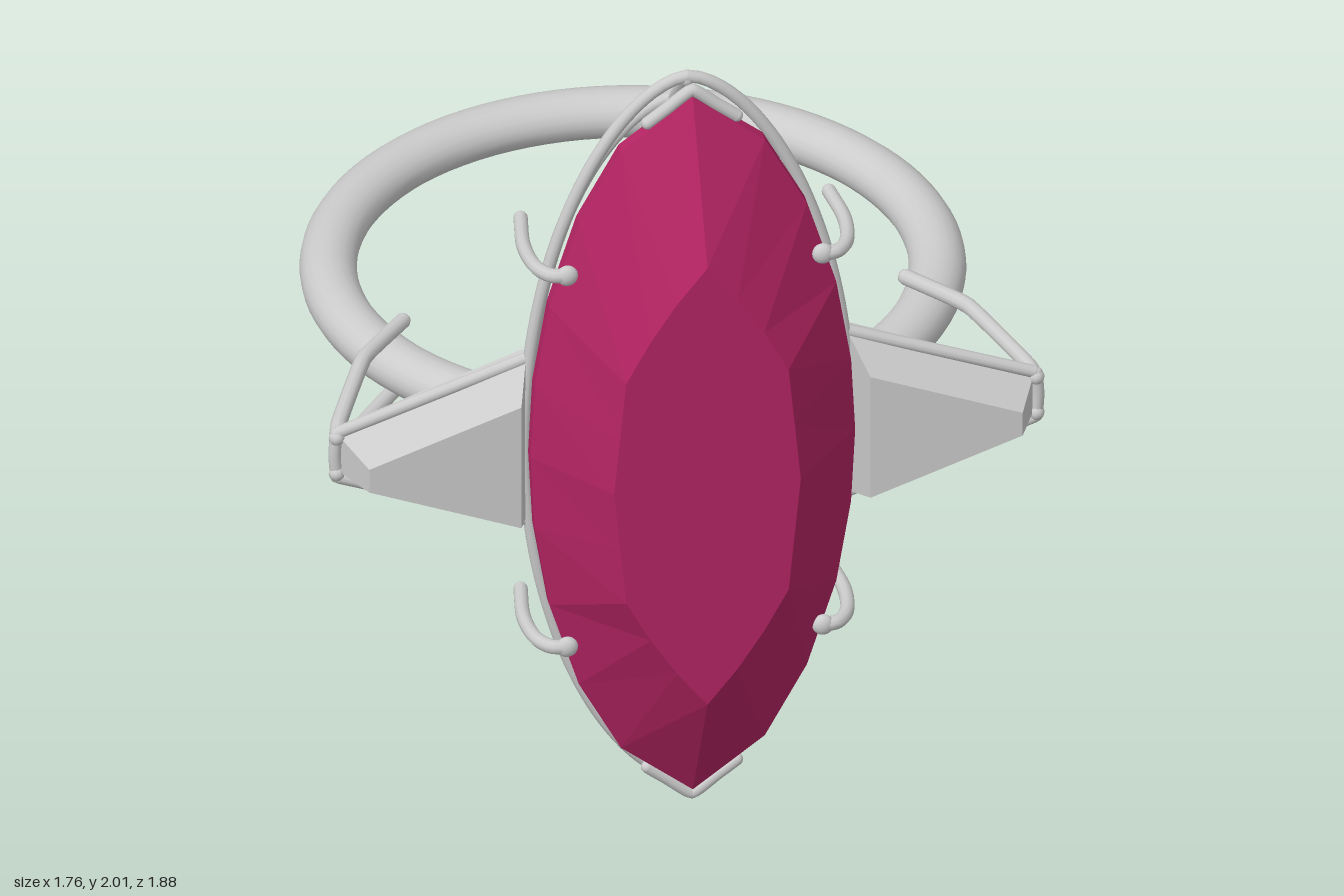
import * as THREE from 'three';
import { mergeGeometries } from 'three/addons/utils/BufferGeometryUtils.js';

const MID = 1; // height of the ring plane
const metal = new THREE.MeshStandardMaterial({ color: 0xcccccc });
const stoneGrey = new THREE.MeshStandardMaterial({ color: 0xcccccc, flatShading: true });
const stoneRed = new THREE.MeshStandardMaterial({ color: 0xb32462, flatShading: true });

function add(parent, name, geometry, material) {
  const mesh = new THREE.Mesh(geometry, material);
  mesh.name = name;
  parent.add(mesh);
  return mesh;
}

// Faceted solid through cross-sections ordered back to front, each counter-clockwise from the front
function loft(rings) {
  const pos = [];
  const tri = (...pts) => pts.forEach((p) => pos.push(...p));
  const n = rings[0].length;
  for (let i = 0; i < rings.length - 1; i++) {
    for (let k = 0; k < n; k++) {
      const m = (k + 1) % n;
      const [a, b, c, d] = [rings[i][k], rings[i][m], rings[i + 1][m], rings[i + 1][k]];
      if (i > 0) tri(a, b, c); // the first section is a point
      tri(a, c, d);
    }
  }
  const front = rings[rings.length - 1];
  for (let k = 1; k < n - 1; k++) tri(front[0], front[k], front[k + 1]);
  const g = new THREE.BufferGeometry();
  g.setAttribute('position', new THREE.Float32BufferAttribute(pos, 3));
  g.computeVertexNormals();
  return g;
}

// Round wire through points, with closed ends
function wire(points, radius, tension = 0.5, segments = 32) {
  const v = points.map((p) => new THREE.Vector3(...p));
  const curve = new THREE.CatmullRomCurve3(v, false, 'catmullrom', tension);
  const parts = [new THREE.TubeGeometry(curve, segments, radius, 10, false)];
  for (const end of [v[0], v[v.length - 1]]) {
    parts.push(new THREE.SphereGeometry(radius, 10, 8).translate(end.x, end.y, end.z));
  }
  return mergeGeometries(parts);
}

// Half width of the pointed oval at a relative height t from -1 to 1
const ovalX = (t, w) => w * Math.pow(Math.max(0, 1 - t * t), 0.6);

// Spread one quarter of an outline (side to top tip) around the full turn
function fullTurn(quarter) {
  const up = quarter.slice(0, -1);
  const tip = quarter[quarter.length - 1];
  const right = [...up, tip];
  const left = up.slice(1).reverse().map(([x, y]) => [-x, y]);
  const half = [...right, ...left];
  return [...half, ...half.map(([x, y]) => [-x, -y])];
}
const section = (outline, s, z) => outline.map(([x, y]) => [x * s, y * s + MID, z]);

function ovalWire(parent, name, w, h, z, radius, from = -1) {
  for (const side of [1, -1]) {
    const pts = [];
    for (let i = 0; i <= 24; i++) {
      const t = Math.sin((from + (1 - from) * i / 24) * Math.PI / 2);
      pts.push([side * ovalX(t, w), MID + t * h, z]);
    }
    add(parent, name, wire(pts, radius, 0.5, 72), metal);
  }
}

export function createModel() {
  const model = new THREE.Group();

  // Finger band
  const band = new THREE.TorusGeometry(0.74, 0.07, 20, 96).rotateX(Math.PI / 2).scale(1, 0.88, 1);
  add(model, 'band', band.translate(0, MID, -0.13), metal);

  // Centre stone: pavilion, girdle, crown and table
  const girdle = fullTurn([0, 0.2, 0.42, 0.65, 0.84, 0.975].map((y) => [ovalX(y / 0.975, 0.4), y]));
  const table = fullTurn([[0.23, 0], [0.215, 0.155], [0.2, 0.31], [0.14, 0.42], [0.075, 0.52], [0, 0.615]]);
  add(model, 'centreStone', loft([
    section(girdle, 0, 0.24), section(girdle, 1, 0.695), section(girdle, 1, 0.73), section(table, 1, 0.94),
  ]), stoneRed);

  // Basket: two pointed-oval rails and the tip guards
  const basket = new THREE.Group();
  basket.name = 'basket';
  model.add(basket);
  ovalWire(basket, 'upperRail', 0.4, 0.985, 0.642, 0.016);
  ovalWire(basket, 'lowerRail', 0.355, 0.82, 0.46, 0.016);
  for (const s of [1, -1]) {
    const guard = [-0.11, -0.06, 0, 0.06, 0.11].map((x) => [x, MID + s * (0.99 - Math.abs(x) * 0.75), 0.718]);
    add(basket, 'tipGuard', wire(guard, 0.016, 0.2), metal);
    add(basket, 'tipStrut', wire([
      [0, MID + s * 0.975, 0.642], [0, MID + s * 0.81, 0.46], [0, MID + s * 0.31, 0.24],
    ], 0.017, 0.05, 40), metal);

    // Bent claws with ball ends
    for (const side of [1, -1]) {
      const y = MID + s * 0.523;
      add(basket, 'claw', wire([
        [side * 0.38, y, 0.47], [side * 0.395, y, 0.6], [side * 0.385, y, 0.7],
        [side * 0.355, y, 0.752], [side * 0.315, y, 0.762],
      ], 0.018), metal);
      const ball = new THREE.SphereGeometry(0.027, 14, 10).scale(1, 1, 0.7);
      add(basket, 'clawTip', ball.translate(side * 0.315, y, 0.762), metal);
    }
  }

  // Tapered side stones with their wire cradles, the second turned half round
  for (const turn of [0, Math.PI]) {
    const shoulder = new THREE.Group();
    shoulder.name = turn ? 'rightShoulder' : 'leftShoulder';
    shoulder.position.y = MID;
    shoulder.rotation.z = turn;
    model.add(shoulder);

    const taper = (x0, h0, x1, h1, z) => [[x0, -h0, z], [x1, -h1, z], [x1, h1, z], [x0, h0, z]];
    add(shoulder, 'sideStone', loft([
      taper(0.61, 0, 0.61, 0, 0.45),
      taper(0.395, 0.225, 0.855, 0.05, 0.59),
      taper(0.395, 0.225, 0.855, 0.05, 0.635),
      taper(0.43, 0.17, 0.805, 0.032, 0.775),
    ]), stoneGrey);

    for (const s of [1, -1]) {
      add(shoulder, 'sideWire', wire([
        [0.385, s * 0.23, 0.637], [0.62, s * 0.147, 0.637], [0.855, s * 0.064, 0.637],
      ], 0.016), metal);
      add(shoulder, 'sideStrut', wire([
        [0.862, s * 0.05, 0.64], [0.845, s * 0.06, 0.58], [0.745, s * 0.09, 0.345], [0.62, s * 0.085, 0.175],
      ], 0.02, 0.2), metal);
    }
    // Short bar closing the cradle at the tip
    add(shoulder, 'tipBar', wire([[0.862, -0.06, 0.637], [0.866, 0, 0.637], [0.862, 0.06, 0.637]], 0.016), metal);
  }

  return model;
}
